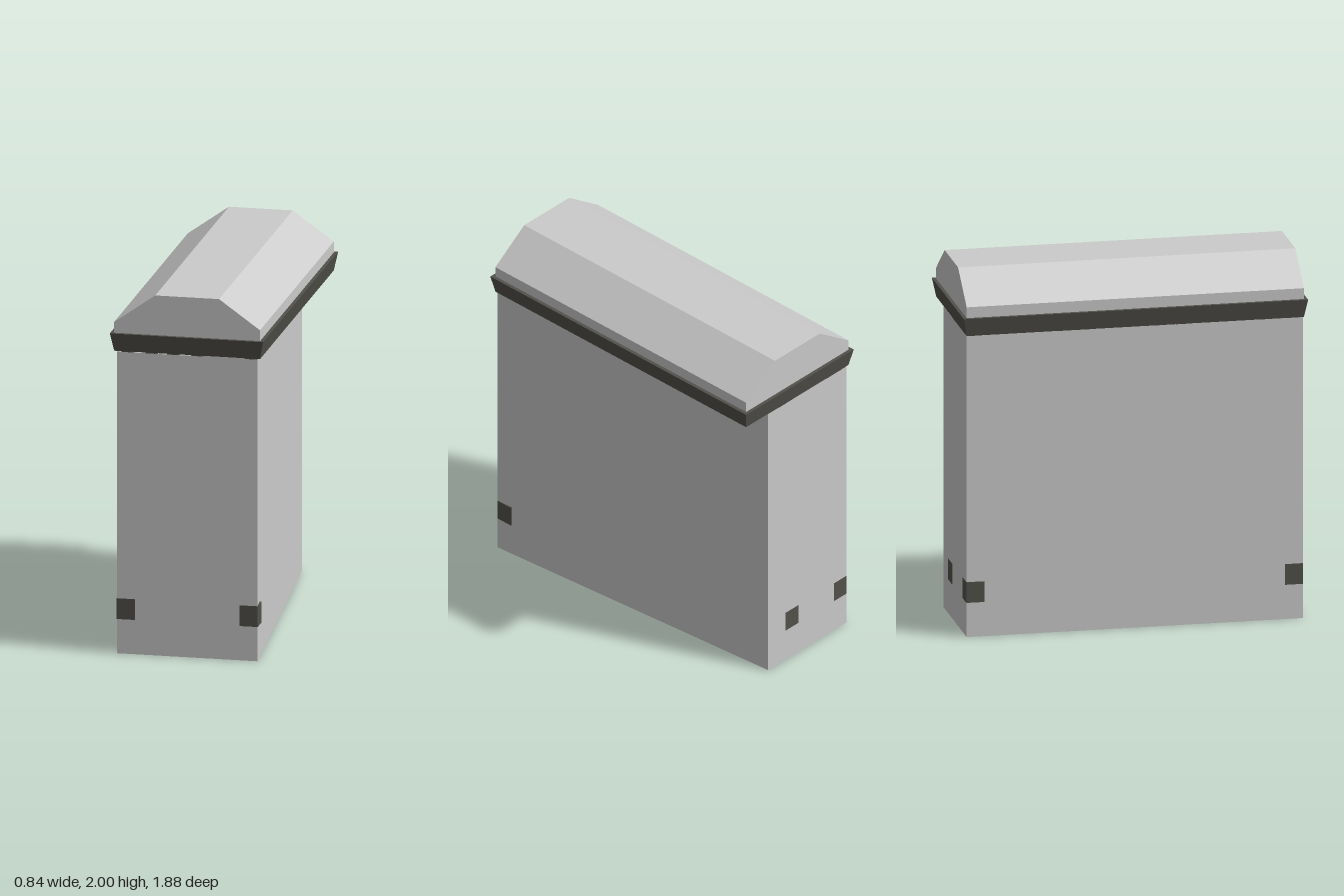
import * as THREE from 'three';

const grey = new THREE.MeshStandardMaterial({ color: 0xcccccc, flatShading: true, side: THREE.DoubleSide });
const dark = new THREE.MeshStandardMaterial({ color: 0x52514b, flatShading: true });

function add(parent, name, geometry, material, x = 0, y = 0, z = 0) {
  const mesh = new THREE.Mesh(geometry, material);
  mesh.name = name;
  mesh.position.set(x, y, z);
  parent.add(mesh);
  return mesh;
}

// Square bar between two points at the same height
function bar(parent, name, a, b, y, size) {
  const dx = b[0] - a[0], dz = b[1] - a[1];
  const geometry = new THREE.BoxGeometry(size, size, Math.hypot(dx, dz));
  const mesh = add(parent, name, geometry, dark, (a[0] + b[0]) / 2, y, (a[1] + b[1]) / 2);
  mesh.rotation.y = Math.atan2(dx, dz);
}

// Open-ended shell: one side runs inward towards the back
function shellGeometry(height) {
  const plan = [[-0.385, 0.92], [0.385, 0.92], [0.225, -0.92], [-0.385, -0.92]];
  const points = [];
  plan.forEach(([x, z], i) => {
    const [u, w] = plan[(i + 1) % plan.length];
    points.push(x, 0, z, u, 0, w, u, height, w, x, 0, z, u, height, w, x, height, z);
  });
  const geometry = new THREE.BufferGeometry();
  geometry.setAttribute('position', new THREE.Float32BufferAttribute(points, 3));
  geometry.computeVertexNormals();
  return geometry;
}

// Rim flares outward from bottom to top
function rimGeometry() {
  const geometry = new THREE.BoxGeometry(0.80, 0.10, 1.845);
  const p = geometry.attributes.position;
  for (let i = 0; i < p.count; i++) {
    if (p.getY(i) > 0) p.setXYZ(i, Math.sign(p.getX(i)) * 0.42, 0.05, Math.sign(p.getZ(i)) * 0.942);
  }
  geometry.computeVertexNormals();
  return geometry;
}

export function createModel() {
  const model = new THREE.Group();
  add(model, 'bodyShell', shellGeometry(1.675), grey);

  // Roof: bevelled profile extruded front to back
  const profile = new THREE.Shape([
    [-0.4, 1.75], [0.4, 1.75], [0.4, 1.84], [0.175, 2], [-0.175, 2], [-0.4, 1.84],
  ].map(([x, y]) => new THREE.Vector2(x, y)));
  const roof = new THREE.ExtrudeGeometry(profile, { depth: 1.846, bevelEnabled: false });
  add(model, 'roof', roof, grey, 0, 0, -0.923);
  add(model, 'roofRim', rimGeometry(), dark, 0, 1.73, 0);

  // Inner frame follows the plan of the shell
  const frame = new THREE.Group();
  frame.name = 'innerFrame';
  model.add(frame);
  const left = (z) => 0.337 - 0.297 * (0.872 - z) / 1.744;
  for (const z of [0.872, 0.27, -0.27, -0.872]) {
    const corner = Math.abs(z) > 0.5;
    const bottom = corner ? 0.06 : 0.53;
    for (const x of [-0.337, left(z)]) {
      const post = new THREE.BoxGeometry(0.055, 1.685 - bottom, 0.055);
      add(frame, corner ? 'cornerPost' : 'middlePost', post, dark, x, (1.685 + bottom) / 2, z);
      if (corner) add(frame, 'cornerBlock', new THREE.BoxGeometry(0.099, 0.115, 0.099), dark, x, 0.248, z);
    }
  }
  // Horizontal rails joining the corner posts
  const corners = [[-0.337, 0.872], [0.337, 0.872], [0.04, -0.872], [-0.337, -0.872]];
  corners.forEach((c, i) => bar(frame, 'rail', c, corners[(i + 1) % 4], 0.57, 0.05));

  return model;
}
